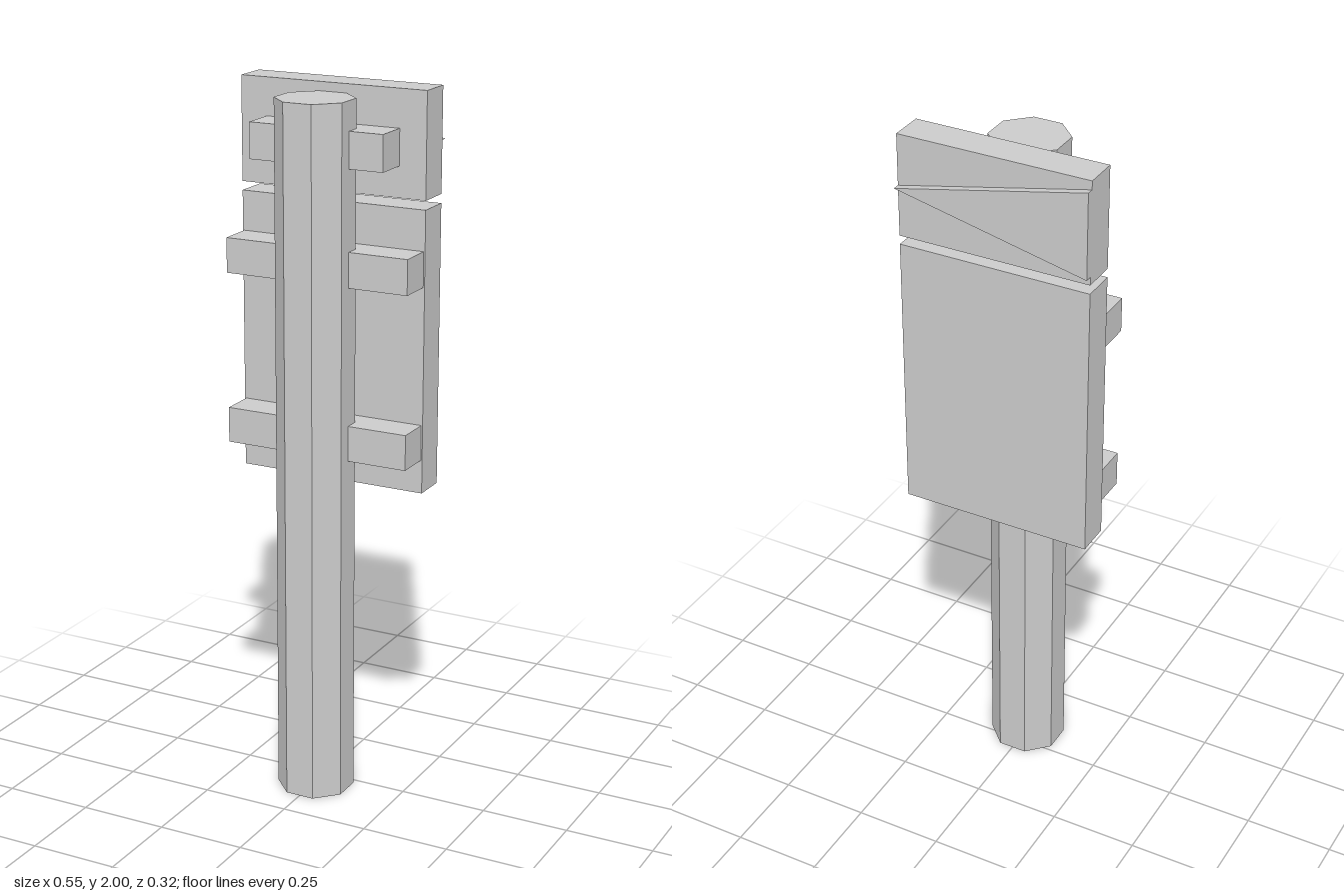
import * as THREE from 'three';

const material = new THREE.MeshStandardMaterial({ color: 0xcccccc, flatShading: true });

export function createModel() {
  const model = new THREE.Group();
  model.name = 'signpost';

  const add = (name, geometry) => {
    const mesh = new THREE.Mesh(geometry, material);
    mesh.name = name;
    model.add(mesh);
  };

  // Box given by its half width and its y and z ranges
  const addBox = (name, halfX, y0, y1, z0, z1) => {
    const box = new THREE.BoxGeometry(halfX * 2, y1 - y0, z1 - z0);
    add(name, box.translate(0, (y0 + y1) / 2, (z0 + z1) / 2));
  };

  // Octagonal post with flat sides facing the axes
  const post = new THREE.CylinderGeometry(0.108, 0.108, 1.975, 8);
  add('post', post.rotateY(Math.PI / 8).translate(0, 1.975 / 2, 0.058));

  // Sign boards on the back of the post
  addBox('upperBoard', 0.276, 1.71, 2, -0.139, -0.041);
  addBox('lowerBoard', 0.276, 0.895, 1.685, -0.139, -0.041);

  // Cross bars holding the boards
  addBox('upperBar', 0.198, 1.795, 1.895, -0.041, 0.058);
  addBox('middleBar', 0.272, 1.475, 1.573, -0.041, 0.058);
  addBox('lowerBar', 0.272, 0.99, 1.09, -0.041, 0.058);

  // Raised triangular pointer on the upper board, tip toward +x
  const triangle = new THREE.Shape([
    new THREE.Vector2(-0.276, 1.733),
    new THREE.Vector2(0.276, 1.855),
    new THREE.Vector2(-0.276, 1.976),
  ]);
  const pointer = new THREE.ExtrudeGeometry(triangle, { depth: 0.02, bevelEnabled: false });
  add('pointer', pointer.translate(0, 0, -0.159));

  return model;
}
